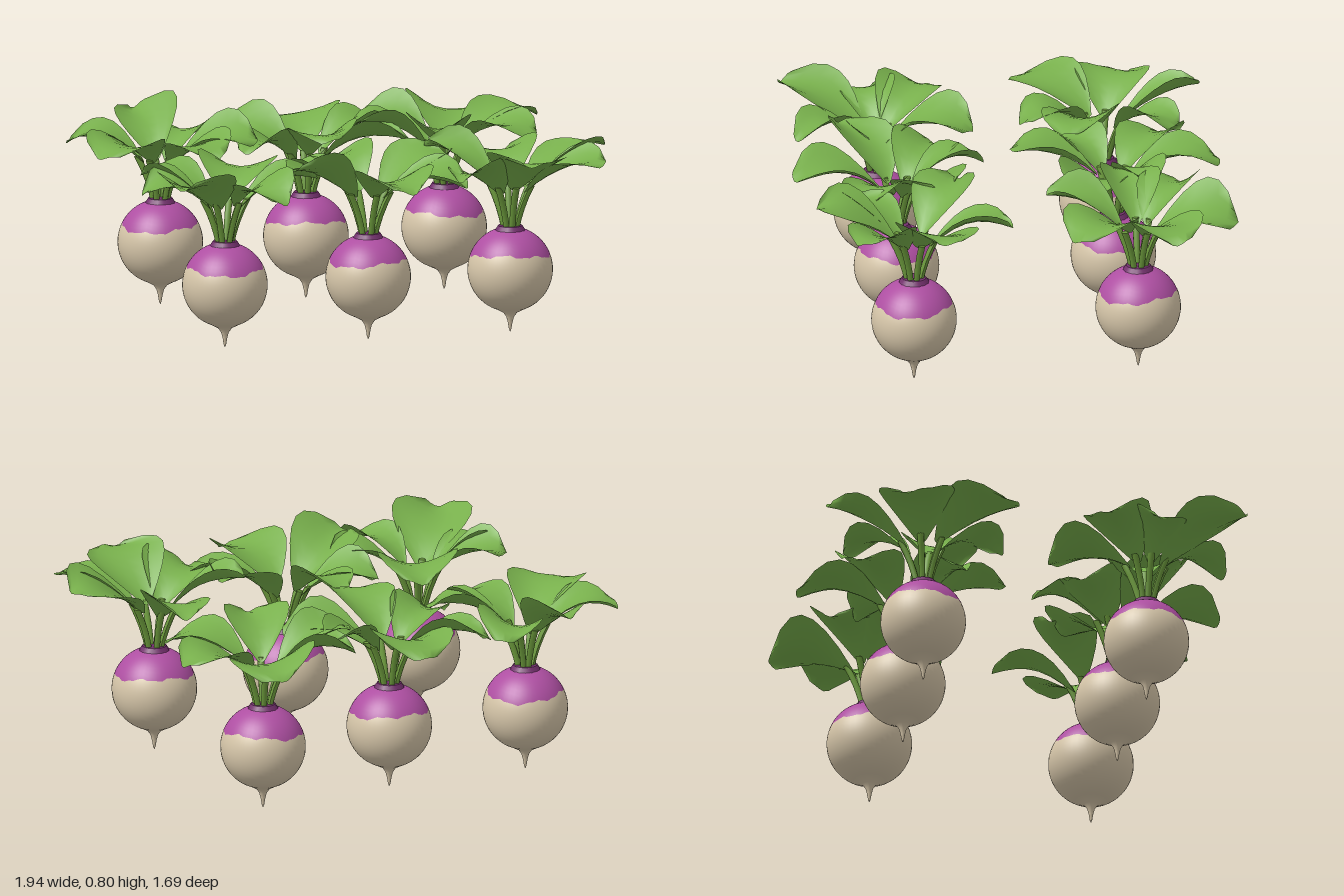
import * as THREE from 'three';
import { ParametricGeometry } from 'three/addons/geometries/ParametricGeometry.js';

const paint = (name, color, extra = {}) => {
  const m = new THREE.MeshStandardMaterial({ color, ...extra });
  m.name = name;
  return m;
};
const cream = paint('cream', 0xd6c6a9);
const purple = paint('purple', 0xae4fa2);
const crownPurple = paint('dark purple', 0x72306c);
const stemGreen = paint('stem green', 0x6c9a3c);
const leafGreen = paint('leaf green', 0x78b04c, { side: THREE.DoubleSide });

// Each plant: position and its leaves as [heading in degrees, length, half width]
const plants = [
  { x: -0.585, z: -0.455, leaves: [[-88, 0.385, 0.125], [197, 0.37, 0.15], [135, 0.44, 0.16], [66, 0.37, 0.14], [27, 0.39, 0.16], [-48, 0.36, 0.13]] },
  { x: 0, z: -0.425, leaves: [[-82, 0.42, 0.17], [221, 0.41, 0.14], [149, 0.36, 0.12], [92, 0.41, 0.14], [24, 0.42, 0.14], [-19, 0.35, 0.11]] },
  { x: 0.57, z: -0.45, leaves: [[-71, 0.4, 0.17], [218, 0.37, 0.13], [180, 0.38, 0.12], [111, 0.37, 0.13], [43, 0.4, 0.16], [-17, 0.42, 0.15]] },
  { x: -0.57, z: 0.44, leaves: [[-63, 0.4, 0.16], [221, 0.36, 0.14], [178, 0.34, 0.11], [129, 0.44, 0.16], [66, 0.37, 0.13], [5, 0.37, 0.13]] },
  { x: 0.015, z: 0.435, leaves: [[-102, 0.36, 0.13], [216, 0.37, 0.14], [155, 0.4, 0.14], [83, 0.42, 0.16], [27, 0.4, 0.13], [-23, 0.39, 0.16]] },
  { x: 0.592, z: 0.44, leaves: [[-82, 0.39, 0.14], [-13, 0.41, 0.17], [37, 0.4, 0.14], [90, 0.385, 0.16], [137, 0.36, 0.13], [217, 0.36, 0.13]] },
];

let seed = 7;
const random = () => (seed = (seed * 16807) % 2147483647) / 2147483647;

const R = 0.168, CY = 0.25;

function add(parent, name, geometry, material) {
  const m = new THREE.Mesh(geometry, material);
  m.name = name;
  parent.add(m);
  return m;
}

// Round bulb whose colour boundary is a wavy line
function bulb(parent, phase) {
  const edge = a => 0.318 + 0.009 * Math.sin(2 * a + phase) + 0.005 * Math.sin(7 * a + 2 * phase) + 0.003 * Math.sin(17 * a);
  const band = (from, to, stacks) => new ParametricGeometry((u, v, p) => {
    const a = u * Math.PI * 2;
    const lat = THREE.MathUtils.lerp(from(a), to(a), v);
    const r = R * Math.cos(lat);
    p.set(r * Math.sin(a), CY + R * Math.sin(lat), r * Math.cos(a));
  }, 48, stacks);
  const border = a => Math.asin((edge(a) - CY) / R);
  add(parent, 'bulb', band(() => -1.5, border, 18), cream);
  add(parent, 'purpleTop', band(border, () => 1.5, 10), purple);

  // Tapering tap root
  const profile = [[0.001, 0], [0.005, 0.01], [0.009, 0.035], [0.015, 0.058], [0.027, 0.076], [0.052, 0.089], [0.075, 0.101]]
    .map(([r, y]) => new THREE.Vector2(r, y));
  add(parent, 'root', new THREE.LatheGeometry(profile, 16), cream);
}

// Stalk curving outward along +x
function stem() {
  const g = new THREE.CylinderGeometry(0.014, 0.012, 0.19, 7, 4).translate(0, 0.495, 0);
  const pos = g.attributes.position;
  for (let i = 0; i < pos.count; i++) {
    const t = (pos.getY(i) - 0.4) / 0.19;
    pos.setX(i, pos.getX(i) + 0.024 + 0.03 * t + 0.035 * t * t);
  }
  g.computeVertexNormals();
  return g;
}

// Broad cupped blade rising from the stalk and drooping at the tip
function blade(length, halfWidth) {
  const droop = 0.16 + 0.11 * random();
  const roll = 0.07 * (random() - 0.5);
  const base = 0.555 + 0.03 * random();
  const phase = random() * 6;
  return new ParametricGeometry((u, v, p) => {
    const s = u * 2 - 1;
    const t = 0.03 + 0.92 * v;
    const w = Math.pow(Math.sin(Math.PI * Math.pow(t, 1.3)), 0.65);
    const wave = 0.01 * Math.sin(5 * v + 3 * s + phase) * v;
    p.set(
      0.065 + (length - 0.065) * v - 0.02 * s * s * v,
      base + 0.32 * v - droop * v * v + w * (0.05 * s * s + roll * s) + wave,
      s * w * halfWidth
    );
  }, 6, 7);
}

export function createModel() {
  const model = new THREE.Group();
  model.name = 'turnips';
  plants.forEach(({ x, z, leaves }, i) => {
    const plant = new THREE.Group();
    plant.name = 'turnip' + (i + 1);
    plant.position.set(x, 0, z);
    bulb(plant, i * 1.7);
    add(plant, 'crown', new THREE.CylinderGeometry(0.048, 0.061, 0.02, 14).translate(0, 0.415, 0), crownPurple);
    for (const [heading, length, halfWidth] of leaves) {
      const leaf = new THREE.Group();
      leaf.name = 'leaf';
      leaf.rotation.y = -THREE.MathUtils.degToRad(heading);
      add(leaf, 'stem', stem(), stemGreen);
      add(leaf, 'blade', blade(length, halfWidth), leafGreen);
      plant.add(leaf);
    }
    model.add(plant);
  });
  return model;
}
